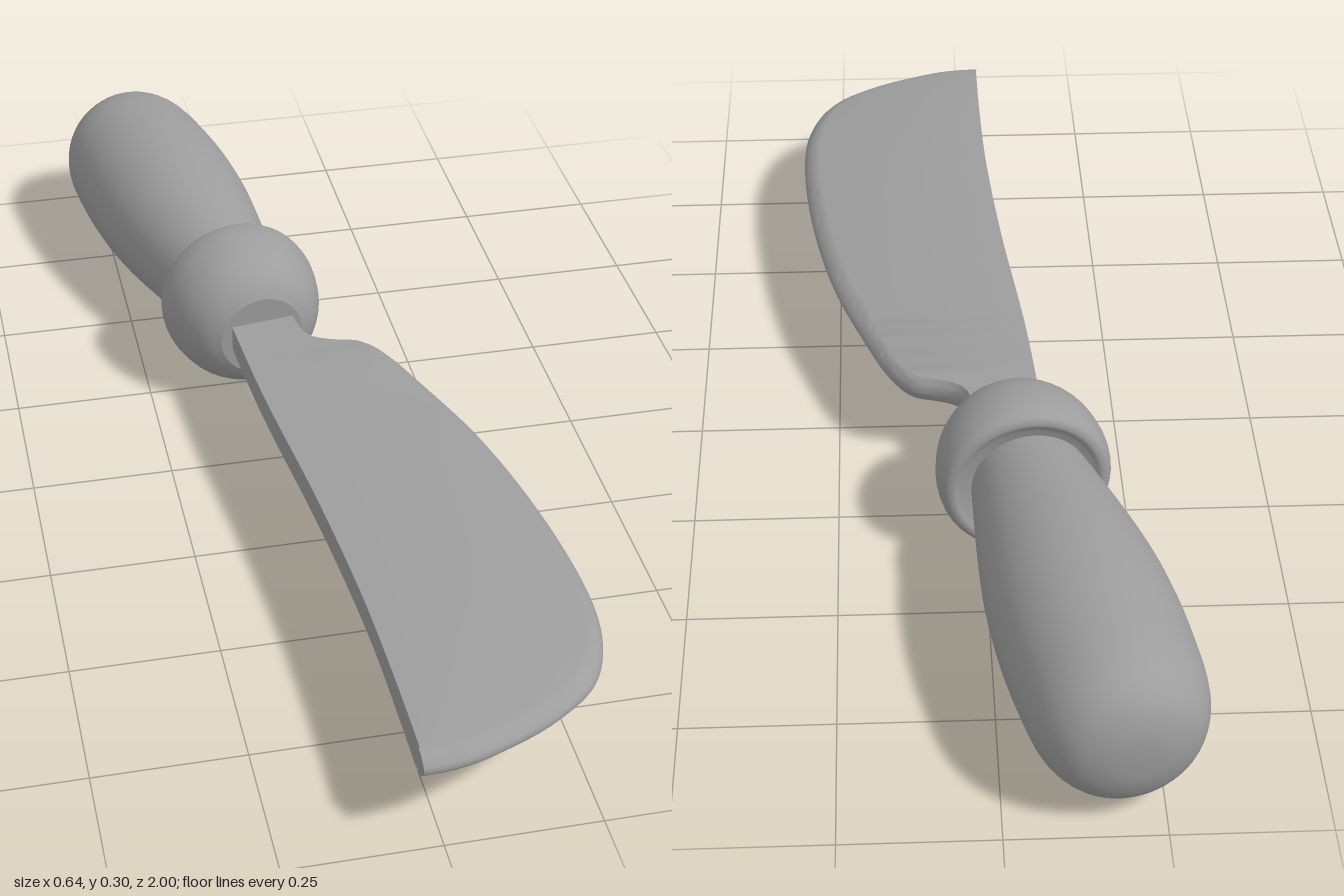
import * as THREE from 'three';
import { toCreasedNormals } from 'three/addons/utils/BufferGeometryUtils.js';

const material = new THREE.MeshStandardMaterial({ color: 0x9d9d9d });
const vectors = (list) => list.map(([a, b]) => new THREE.Vector2(a, b));
const HANDLE_Y = 0.149, BLADE_Y = 0.155, HALF_THICKNESS = 0.0245;

// Turned part: the profile is (radius, distance), running backwards from (x, z) and swung by yaw
function turned(name, profile, x, z, yaw) {
  const mesh = new THREE.Mesh(new THREE.LatheGeometry(profile, 48), material);
  mesh.name = name;
  mesh.position.set(x, HANDLE_Y, z);
  mesh.rotation.set(-Math.PI / 2, yaw, 0, 'YXZ');
  return mesh;
}

// Blade lofted between a square spine and a rounded cutting edge, both given as (x, z)
function bladeGeometry() {
  const spine = new THREE.SplineCurve(vectors([
    [-0.107, -0.22], [-0.09, 0.05], [-0.06, 0.35], [-0.042, 0.6], [-0.036, 0.8], [-0.035, 0.97],
  ]));
  const edge = new THREE.SplineCurve(vectors([
    [0.018, -0.22], [0.02, -0.17], [0.033, -0.125], [0.07, -0.105], [0.12, -0.092], [0.16, -0.045],
    [0.2, 0.05], [0.257, 0.22], [0.298, 0.42], [0.318, 0.62], [0.31, 0.76], [0.267, 0.865],
    [0.18, 0.935], [0.07, 0.983], [0.01, 0.997], [-0.035, 1.0],
  ]));
  // Rounding: (fraction of inset from the edge, half thickness)
  const rounding = [[1, HALF_THICKNESS], [0.65, 0.021], [0.35, 0.015], [0.12, 0.008], [0, 0.002]];
  const section = [...rounding, ...rounding.map(([f, h]) => [f, -h]).reverse()];
  const rows = 90, count = section.length + 2;
  const positions = [], index = [];
  for (let i = 0; i <= rows; i++) {
    const t = i / rows;
    const s = spine.getPointAt(t), e = edge.getPointAt(t), tan = edge.getTangentAt(t);
    const inset = THREE.MathUtils.lerp(0.007, 0.03, THREE.MathUtils.smoothstep(t, 0.05, 0.3));
    positions.push(s.x, BLADE_Y + HALF_THICKNESS, s.y);
    for (const [f, h] of section) {
      positions.push(e.x - tan.y * inset * f, BLADE_Y + h, e.y + tan.x * inset * f);
    }
    positions.push(s.x, BLADE_Y - HALF_THICKNESS, s.y);
  }
  for (let i = 0; i < rows; i++) {
    for (let j = 0; j < count; j++) {
      const a = i * count + j, b = i * count + (j + 1) % count;
      index.push(a, a + count, b, b, a + count, b + count);
    }
  }
  // Tip cap
  const last = rows * count;
  for (let j = 1; j < count - 1; j++) index.push(last, last + j + 1, last + j);
  const geometry = new THREE.BufferGeometry();
  geometry.setAttribute('position', new THREE.Float32BufferAttribute(positions, 3));
  geometry.setIndex(index);
  return toCreasedNormals(geometry, 0.7);
}

export function createModel() {
  const group = new THREE.Group();
  group.name = 'spreaderKnife';

  // Swelling grip with a rounded butt
  const grip = new THREE.SplineCurve(vectors([
    [0.096, 0], [0.104, 0.04], [0.125, 0.16], [0.142, 0.28], [0.148, 0.38], [0.147, 0.47],
    [0.137, 0.58], [0.106, 0.643], [0.055, 0.669], [0, 0.674],
  ])).getPoints(45);
  group.add(turned('handle', grip, -0.071, -0.33, 0.195));

  // Domed collar with a rolled rear lip around a shallow recess
  const dome = new THREE.SplineCurve(vectors([
    [0.078, 0], [0.108, 0.02], [0.135, 0.065], [0.147, 0.115], [0.147, 0.15],
    [0.14, 0.171], [0.127, 0.177], [0.114, 0.172], [0.09, 0.166],
  ])).getPoints(40);
  group.add(turned('collar', dome, -0.048, -0.18, 0.135));

  // Flat front of the collar
  group.add(turned('collarFace', vectors([[0, 0], [0.078, 0]]), -0.048, -0.18, 0.135));

  const blade = new THREE.Mesh(bladeGeometry(), material);
  blade.name = 'blade';
  group.add(blade);
  return group;
}
